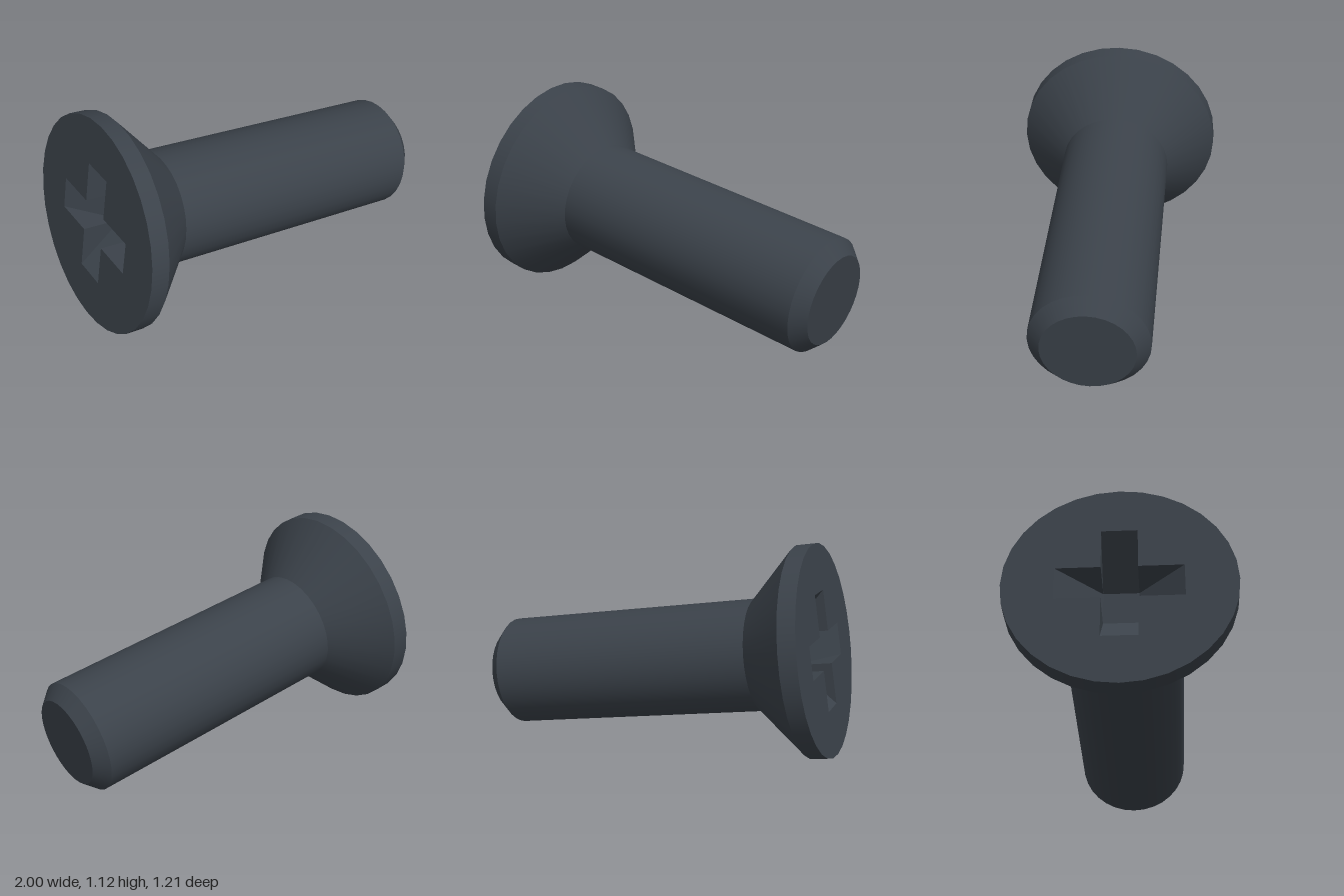
import * as THREE from 'three';

const SIDES = 32;
const HEAD_R = 0.557, SHAFT_R = 0.298, TIP_R = 0.232;
// distances from the head face along the axis
const RIM = 0.092, NECK = 0.35, CHAMFER = 1.795, END = 1.863;
// cross recess: half length, half width, depth
const L = 0.305, H = 0.0875, P = 0.21;

export function createModel() {
  const steel = new THREE.MeshStandardMaterial({ color: 0x3b424a });
  steel.name = 'dark steel';
  const screw = new THREE.Group();
  screw.name = 'countersunkScrew';

  const add = (name, geometry) => {
    const mesh = new THREE.Mesh(geometry, steel);
    mesh.name = name;
    screw.add(mesh);
    return mesh;
  };

  // one turned section between two distances from the head face
  const section = (name, r0, r1, t0, t1) => {
    const g = new THREE.CylinderGeometry(r0, r1, t1 - t0, SIDES, 1, true);
    add(name, g.translate(0, -(t0 + t1) / 2, 0));
  };
  section('headRim', HEAD_R, HEAD_R, 0, RIM);
  section('headCone', HEAD_R, SHAFT_R, RIM, NECK);
  section('shaft', SHAFT_R, SHAFT_R, NECK, CHAMFER);
  section('tipChamfer', SHAFT_R, TIP_R, CHAMFER, END);
  add('tipFace', new THREE.CircleGeometry(TIP_R, SIDES).rotateX(Math.PI / 2).translate(0, -END, 0));

  // flat head face with a cross-shaped opening
  const disc = new THREE.Shape();
  for (let i = 0; i < SIDES; i++) {
    const a = (i / SIDES) * Math.PI * 2;
    disc[i ? 'lineTo' : 'moveTo'](HEAD_R * Math.cos(a), HEAD_R * Math.sin(a));
  }
  disc.closePath();
  const cross = [];
  for (let i = 0; i < 4; i++) {
    for (const [x, y] of [[L, -H], [L, H], [H, H]]) {
      cross.push(new THREE.Vector2(x, y).rotateAround(new THREE.Vector2(), (i * Math.PI) / 2));
    }
  }
  disc.holes.push(new THREE.Path(cross));
  add('headFace', new THREE.ShapeGeometry(disc).rotateX(-Math.PI / 2));

  // one arm of the recess: sloping floor and two side walls
  const A = [L, 0, -H], B = [L, 0, H], C = [H, -P, H], D = [H, -P, -H], E = [H, 0, H], F = [H, 0, -H];
  const arm = new THREE.BufferGeometry();
  const corners = [A, D, C, A, C, B, B, C, E, A, F, D].flat();
  arm.setAttribute('position', new THREE.Float32BufferAttribute(corners, 3));
  arm.computeVertexNormals();
  for (let i = 0; i < 4; i++) add('recessArm', arm).rotation.y = (i * Math.PI) / 2;
  add('recessFloor', new THREE.PlaneGeometry(2 * H, 2 * H).rotateX(-Math.PI / 2).translate(0, -P, 0));

  // lay the screw along its slanted axis
  const out = new THREE.Vector3(-0.9663, 0.1514, -0.2078).normalize();
  const side = new THREE.Vector3(out.z, 0, -out.x).normalize();
  const down = new THREE.Vector3().crossVectors(side, out);
  screw.quaternion.setFromRotationMatrix(new THREE.Matrix4().makeBasis(side, out, down));
  screw.position.set(-0.859, 0.567, -0.06);

  const model = new THREE.Group();
  model.name = 'screwModel';
  model.add(screw);
  return model;
}
